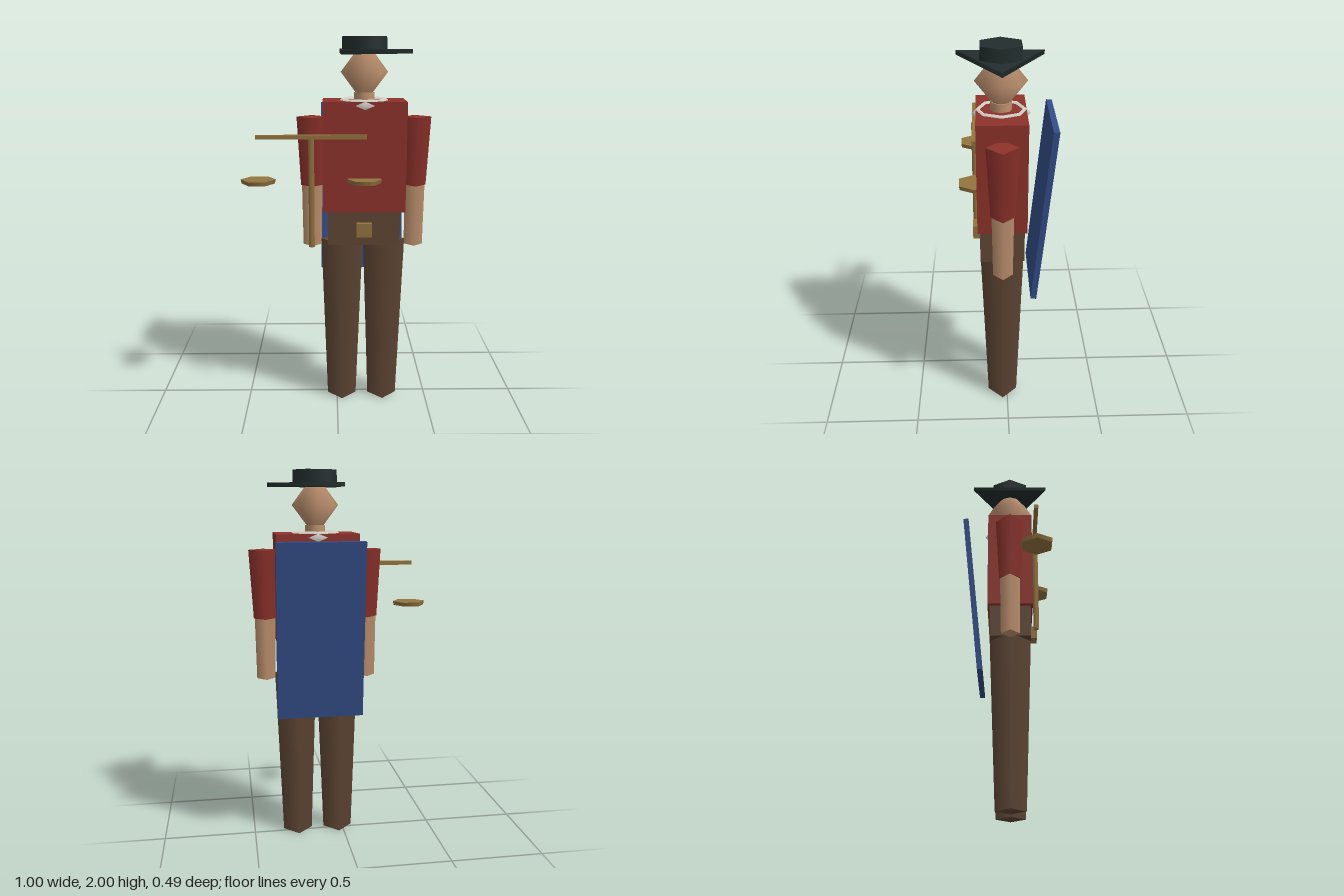
import * as THREE from 'three';

export function createModel() {
  const model = new THREE.Group();
  model.name = 'figure';

  const mat = (name, color) => {
    const m = new THREE.MeshStandardMaterial({ color });
    m.name = name;
    return m;
  };
  const red = mat('coat red', 0x8f322b);
  const brown = mat('trouser brown', 0x604735);
  const skin = mat('skin', 0xc09370);
  const dark = mat('hat dark green', 0x222d2d);
  const blue = mat('cape blue', 0x334d88);
  const gold = mat('brass', 0x93743f);
  const white = mat('collar white', 0xd8d5cc);

  const add = (parent, name, geometry, material, x, y, z) => {
    const mesh = new THREE.Mesh(geometry, material);
    mesh.name = name;
    mesh.position.set(x, y, z);
    parent.add(mesh);
    return mesh;
  };
  const box = (w, h, d) => new THREE.BoxGeometry(w, h, d);
  // Tapered prism spanning y0 to y1
  const prism = (parent, name, material, rTop, rBottom, sides, y0, y1, x, z) =>
    add(parent, name, new THREE.CylinderGeometry(rTop, rBottom, y1 - y0, sides),
      material, x, (y0 + y1) / 2, z);

  // The body stands off-centre to balance the scales at its side
  const body = new THREE.Group();
  body.name = 'body';
  body.position.set(0.141, 0, 0.026);
  model.add(body);

  add(body, 'torso', box(0.434, 0.575, 0.25), red, 0, 1.3875, 0);
  add(body, 'hips', box(0.38, 0.18, 0.226), brown, 0, 1.01, 0);
  add(body, 'beltBuckle', box(0.08, 0.072, 0.04), gold, 0, 1.008, 0.13);

  // Limbs, mirrored
  for (const [side, s] of [['left', 1], ['right', -1]]) {
    prism(body, side + 'Leg', brown, 0.113, 0.08, 4, 0, 0.925, s * 0.114, 0);
    prism(body, side + 'Sleeve', red, 0.08, 0.06, 4, 1.225, 1.59, s * 0.275, 0);
    prism(body, side + 'Forearm', skin, 0.055, 0.05, 4, 0.895, 1.23, s * 0.275, 0);
  }

  // Neck, collar and head
  prism(body, 'neck', skin, 0.053, 0.053, 8, 1.65, 1.717, 0, 0);
  const collar = add(body, 'collar', new THREE.TorusGeometry(0.116, 0.03, 4, 8), white, 0, 1.656, 0);
  collar.rotation.x = Math.PI / 2;
  const head = add(body, 'head', new THREE.SphereGeometry(1, 8, 2), skin, 0, 1.82, 0);
  head.scale.set(0.123, 0.165, 0.13);

  // Three-cornered hat with a six-sided crown
  prism(body, 'hatBrim', dark, 0.25, 0.25, 3, 1.912, 1.934, 0, 0).rotation.y = Math.PI / 2;
  prism(body, 'hatCrown', dark, 0.115, 0.118, 6, 1.925, 2, 0, 0).rotation.y = Math.PI / 2;

  // Cape slab leaning away at the top
  const cape = add(body, 'cape', box(0.458, 0.935, 0.03), blue, 0, 1.177, -0.207);
  cape.rotation.x = -0.1;

  // Balance scales
  const scales = new THREE.Group();
  scales.name = 'scales';
  scales.position.set(-0.135, 0, 0.164);
  model.add(scales);
  add(scales, 'beam', box(0.57, 0.022, 0.022), gold, 0, 1.5, 0);
  prism(scales, 'post', gold, 0.015, 0.015, 4, 0.917, 1.5, 0, 0);
  for (const [side, s] of [['left', 1], ['right', -1]]) {
    const pan = prism(scales, side + 'Pan', gold, 0.091, 0.086, 6, 1.26, 1.282, s * 0.275, 0);
    pan.rotation.y = Math.PI / 2;
  }

  return model;
}
